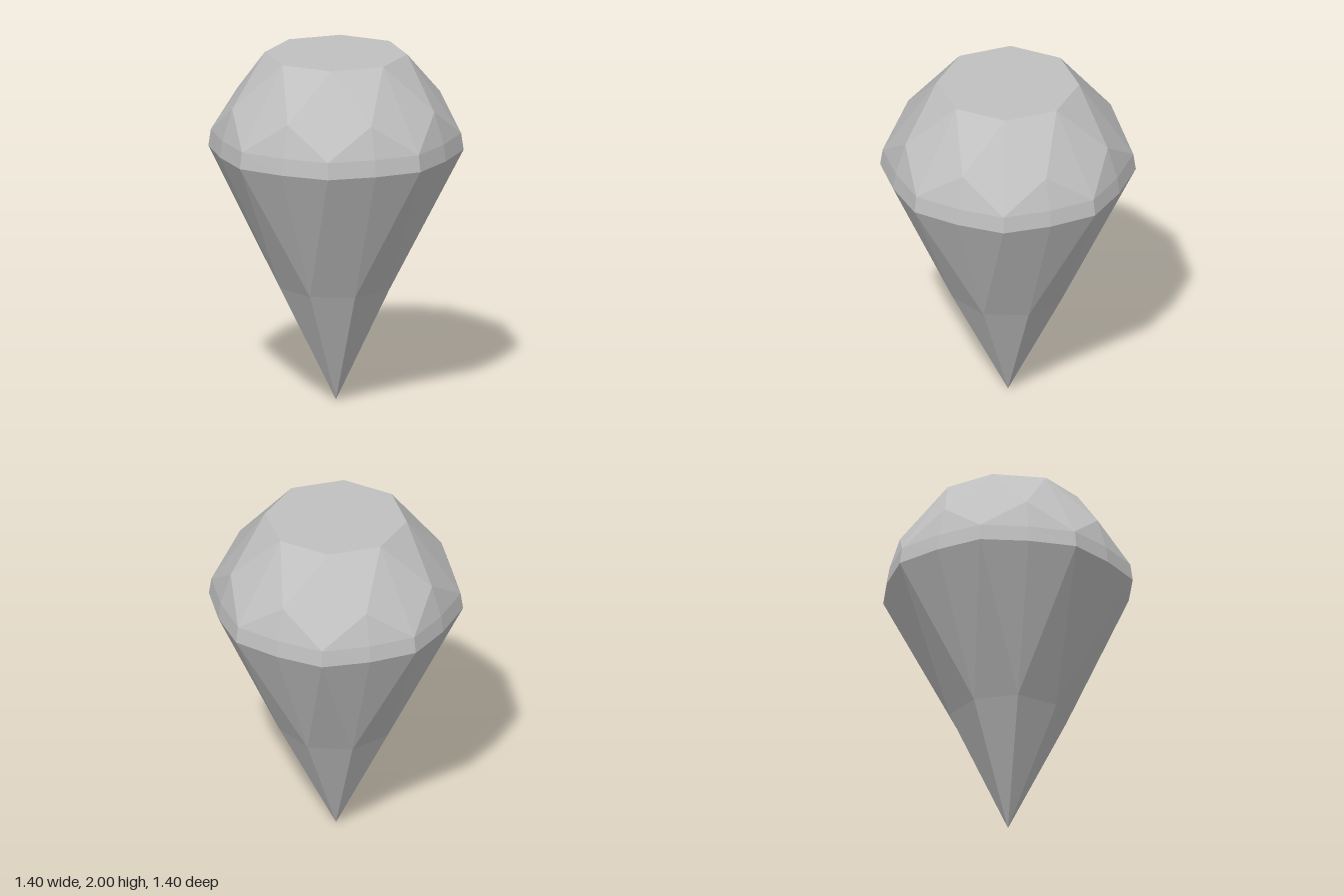
import * as THREE from 'three';

const SIDES = 8;
const STEP = (Math.PI * 2) / SIDES;
const START = -Math.PI / 16;

// Ring of eight corners; shift 0 sits on the main angles, 0.5 halfway between them
function ring(radius, y, shift) {
  return (k) => {
    const a = START + (k + shift) * STEP;
    return new THREE.Vector3(radius * Math.cos(a), y, radius * Math.sin(a));
  };
}

export function createModel() {
  const gem = new THREE.Group();
  gem.name = 'cutGem';
  const stone = new THREE.MeshStandardMaterial({ color: 0xc0c0c0, flatShading: true });
  stone.name = 'grey stone';

  const table = ring(0.398, 2, 0);
  const star = ring(0.612, 1.73, 0.5);
  const upperMain = ring(0.7, 1.55, 0);
  const upperMid = ring(0.67, 1.55, 0.5);
  const lowerMain = ring(0.714, 1.455, 0);
  const lowerMid = ring(0.684, 1.455, 0.5);
  const waist = ring(0.33, 0.67, 0.5);
  const top = () => new THREE.Vector3(0, 2, 0);
  const tip = () => new THREE.Vector3(0, 0, 0);

  // Repeats one sector's triangles around the axis
  function addPart(name, sector) {
    const points = [];
    for (let k = 0; k < SIDES; k++) sector(k).forEach((tri) => points.push(...tri));
    const geometry = new THREE.BufferGeometry().setFromPoints(points);
    geometry.computeVertexNormals();
    const mesh = new THREE.Mesh(geometry, stone);
    mesh.name = name;
    gem.add(mesh);
  }

  // Flat octagonal top
  addPart('table', (k) => [[top(), table(k + 1), table(k)]]);

  // Star, kite and upper girdle facets
  addPart('crown', (k) => [
    [star(k), table(k), table(k + 1)],
    [upperMain(k), table(k), star(k)],
    [upperMain(k + 1), star(k), table(k + 1)],
    [upperMain(k), star(k), upperMid(k)],
    [upperMid(k), star(k), upperMain(k + 1)],
  ]);

  // Narrow sixteen-sided band
  addPart('girdle', (k) => [
    [lowerMain(k), upperMain(k), upperMid(k)],
    [lowerMain(k), upperMid(k), lowerMid(k)],
    [lowerMid(k), upperMid(k), upperMain(k + 1)],
    [lowerMid(k), upperMain(k + 1), lowerMain(k + 1)],
  ]);

  // Long lower facets narrowing to the point
  addPart('pavilion', (k) => [
    [waist(k), lowerMain(k), lowerMid(k)],
    [waist(k), lowerMid(k), lowerMain(k + 1)],
    [waist(k), lowerMain(k + 1), waist(k + 1)],
    [tip(), waist(k), waist(k + 1)],
  ]);

  return gem;
}
